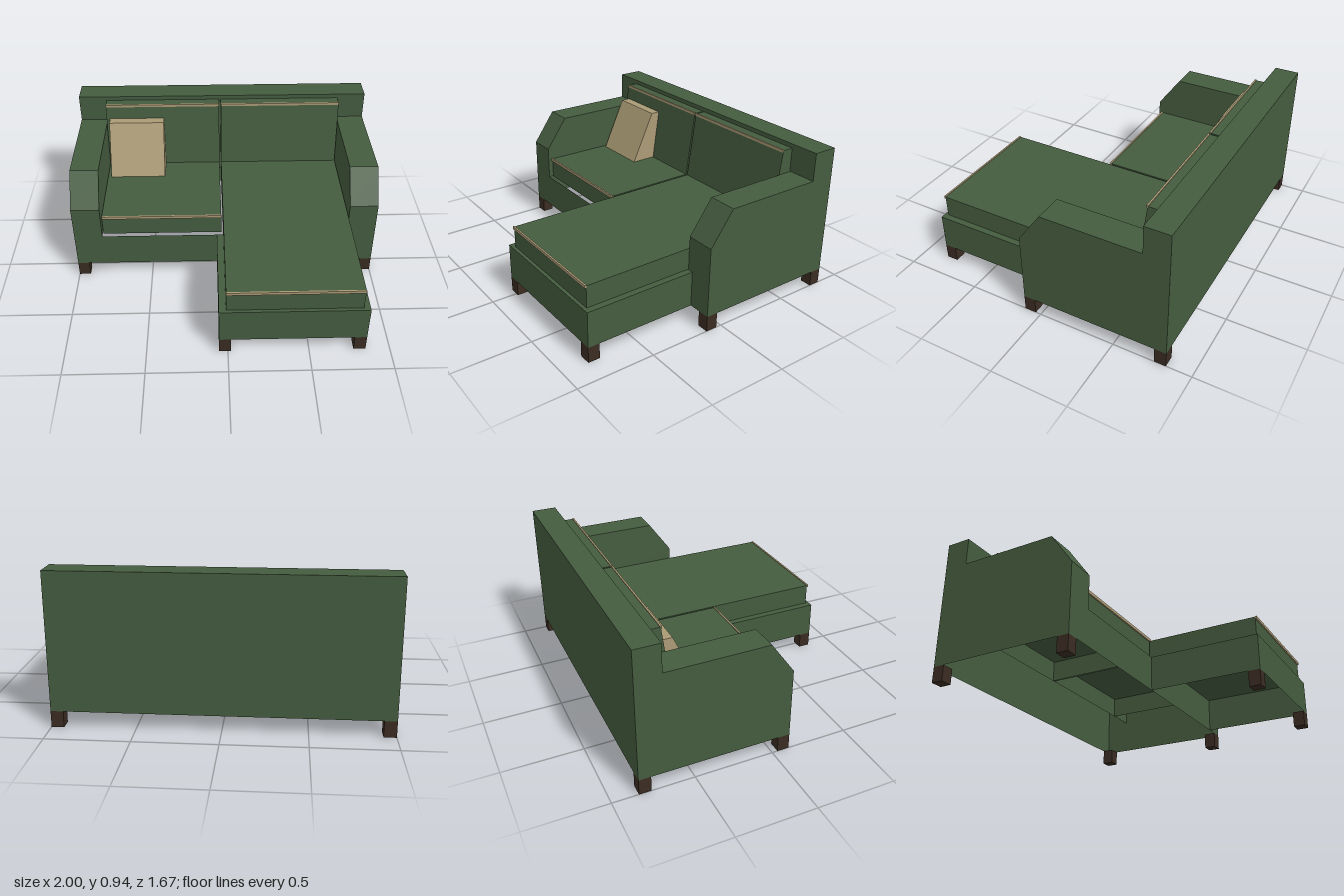
import * as THREE from 'three';
import { mergeGeometries } from 'three/addons/utils/BufferGeometryUtils.js';

const fabric = new THREE.MeshStandardMaterial({ color: 0x455c3f, side: THREE.DoubleSide });
fabric.name = 'green fabric';
const trim = new THREE.MeshStandardMaterial({ color: 0xab9b76 });
trim.name = 'tan trim';
const wood = new THREE.MeshStandardMaterial({ color: 0x3a2c22 });
wood.name = 'dark wood';

// Box from its limits; the listed sides (0 +x, 1 -x, 2 +y, 3 -y, 4 +z, 5 -z) are left open
function box(x0, x1, y0, y1, z0, z1, open = []) {
  const g = new THREE.BoxGeometry(x1 - x0, y1 - y0, z1 - z0);
  g.translate((x0 + x1) / 2, (y0 + y1) / 2, (z0 + z1) / 2);
  const index = Array.from(g.index.array).filter((_, i) => !open.includes(Math.floor(i / 6)));
  g.setIndex(index);
  g.clearGroups();
  return g;
}

// Flat convex panel, corners counter-clockwise seen from outside
function panel(corners, flip = false) {
  const pts = flip ? corners.slice().reverse() : corners;
  const pos = [];
  for (let i = 1; i < pts.length - 1; i++) pos.push(...pts[0], ...pts[i], ...pts[i + 1]);
  const g = new THREE.BufferGeometry();
  g.setAttribute('position', new THREE.Float32BufferAttribute(pos, 3));
  g.computeVertexNormals();
  return g;
}

// Solid with a [z, y] cross-section running from x0 to x1
function prism(x0, x1, section) {
  const shape = new THREE.Shape(section.map(([z, y]) => new THREE.Vector2(-z, y)));
  const g = new THREE.ExtrudeGeometry(shape, { depth: x1 - x0, bevelEnabled: false });
  g.rotateY(Math.PI / 2);
  g.translate(x0, 0, 0);
  return g;
}

// Hollow arm with a sloping front; s is +1 for left, -1 for right
function armGeometry(s) {
  const inner = 0.815, outer = 1;
  const edge = [[0.11, 0.1], [0.11, 0.55], [-0.04, 0.76], [-0.68, 0.76]];
  const side = (x, bottom) => [
    [0.11, bottom], [-0.68, bottom], [-0.68, 0.76], [-0.04, 0.76], [0.11, 0.55],
  ].map(([z, y]) => [s * x, y, z]);
  const parts = [panel(side(outer, 0.1), s < 0), panel(side(inner, 0.33), s > 0)];
  for (let i = 0; i < 3; i++) {
    const [z0, y0] = edge[i], [z1, y1] = edge[i + 1];
    parts.push(panel([
      [s * inner, y0, z0], [s * outer, y0, z0], [s * outer, y1, z1], [s * inner, y1, z1],
    ], s < 0));
  }
  return mergeGeometries(parts);
}

export function createModel() {
  const model = new THREE.Group();
  model.name = 'cornerSofa';
  const add = (name, geometry, material) => {
    const mesh = new THREE.Mesh(geometry, material);
    mesh.name = name;
    model.add(mesh);
  };

  // Frame: hollow, open underneath
  add('leftArm', armGeometry(1), fabric);
  add('rightArm', armGeometry(-1), fabric);
  add('backrest', box(-1, 1, 0.1, 0.94, -0.84, -0.68, [3, 4]), fabric);
  add('backrestFront', panel([[-1, 0.33, -0.68], [1, 0.33, -0.68], [1, 0.94, -0.68], [-1, 0.94, -0.68]]), fabric);
  add('frontRail', panel([[-0.815, 0.1, 0.11], [0.815, 0.1, 0.11], [0.815, 0.33, 0.11], [-0.815, 0.33, 0.11]]), fabric);
  add('chaiseBase', box(-0.055, 0.85, 0.1, 0.33, 0.11, 0.835, [3, 5]), fabric);

  // Seat and back cushions with piping
  const cushions = [
    { name: 'right', x0: -0.81, x1: -0.024, front: 0.08 },
    { name: 'chaise', x0: -0.012, x1: 0.81, front: 0.813 },
  ];
  for (const { name, x0, x1, front } of cushions) {
    add(name + 'SeatCushion', box(x0, x1, 0.33, 0.47, -0.68, front, [3, 5]), fabric);
    add(name + 'SeatPiping', box(x0, x1, 0.456, 0.475, front - 0.002, front + 0.009), trim);
    add(name + 'BackCushion', prism(x0, x1, [[-0.55, 0.47], [-0.608, 0.912], [-0.68, 0.912], [-0.68, 0.47]]), fabric);
    add(name + 'BackPiping', box(x0, x1, 0.9, 0.917, -0.612, -0.601), trim);
  }

  // Wedge pillow leaning on the back cushion
  add('pillow', prism(-0.785, -0.41, [[-0.375, 0.472], [-0.532, 0.815], [-0.594, 0.815], [-0.549, 0.472]]), trim);

  // Square legs, by outer corner and the direction they extend inwards
  const size = 0.075;
  const legs = [
    [-1, -0.84], [1 - size, -0.84], [-1, 0.11 - size], [1 - size, 0.11 - size],
    [-0.055, 0.835 - size], [0.85 - size, 0.835 - size],
  ];
  legs.forEach(([x, z], i) => add('leg' + (i + 1), box(x, x + size, 0, 0.1, z, z + size), wood));

  return model;
}
